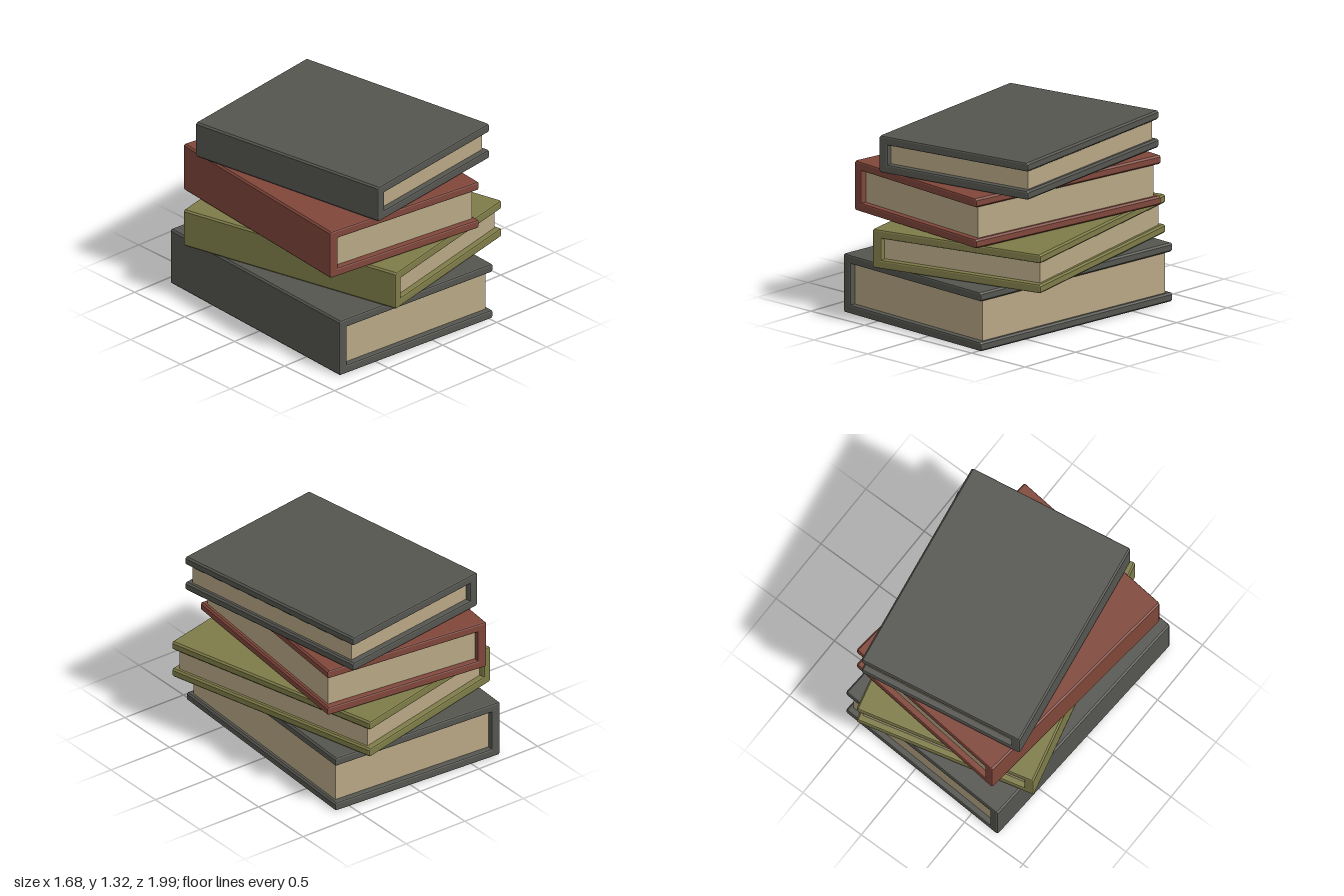
import * as THREE from 'three';

const BEVEL = 0.012;   // softened cover edges
const COVER = 0.063;   // cover board thickness
const SPINE = 0.07;    // spine thickness

const material = (name, color) => {
  const m = new THREE.MeshStandardMaterial({ color });
  m.name = name;
  return m;
};

// C-shaped case (two boards and a spine at -x) with bevelled edges
function caseGeometry(w, h, d) {
  const x = w / 2, i = -x + SPINE, b = BEVEL;
  const profile = [
    [-x + b, 0], [x - b, 0], [x, b], [x, COVER - b], [x - b, COVER],
    [i, COVER], [i, h - COVER],
    [x - b, h - COVER], [x, h - COVER + b], [x, h - b], [x - b, h],
    [-x + b, h], [-x, h - b], [-x, b],
  ].map(([px, py]) => new THREE.Vector2(px, py));
  const geometry = new THREE.ExtrudeGeometry(new THREE.Shape(profile), {
    depth: d - 2 * b, bevelEnabled: true, bevelSize: b,
    bevelThickness: b, bevelOffset: -b, bevelSegments: 2,
  });
  return geometry.translate(0, 0, -d / 2 + b);
}

// One closed book, standing on its lower board
function makeBook({ name, w, h, d, coverMat }, pageMat) {
  const book = new THREE.Group();
  book.name = name;

  const cover = new THREE.Mesh(caseGeometry(w, h, d), coverMat);
  cover.name = 'cover';

  // Page block, inset from the open edges and tucked slightly into the case
  const left = -w / 2 + SPINE - 0.005, right = w / 2 - 0.03;
  const pages = new THREE.Mesh(
    new THREE.BoxGeometry(right - left, h - 2 * COVER + 0.01, d - 0.085), pageMat);
  pages.position.set((left + right) / 2, h / 2, 0);
  pages.name = 'pages';

  book.add(cover, pages);
  return book;
}

export function createModel() {
  const grey = material('charcoal cloth', 0x555550);
  const red = material('brick red cloth', 0x80463a);
  const olive = material('olive cloth', 0x7e7c48);
  const paper = material('paper', 0xb8a785);

  // Books from the bottom of the stack to the top
  const books = [
    { name: 'bottomBook', w: 1.357, h: 0.415, d: 1.8, x: -0.103, y: 0, turn: -0.053, coverMat: grey },
    { name: 'oliveBook', w: 1.313, h: 0.275, d: 1.727, x: 0, y: 0.419, turn: 0.243, coverMat: olive },
    { name: 'redBook', w: 1.268, h: 0.352, d: 1.66, x: -0.105, y: 0.701, turn: -0.102, coverMat: red },
    { name: 'topBook', w: 1.226, h: 0.262, d: 1.58, x: 0, y: 1.058, turn: 0.158, coverMat: grey },
  ];

  const stack = new THREE.Group();
  stack.name = 'bookStack';
  for (const spec of books) {
    const book = makeBook(spec, paper);
    book.position.set(spec.x, spec.y, 0);
    book.rotation.y = spec.turn;
    stack.add(book);
  }
  return stack;
}
